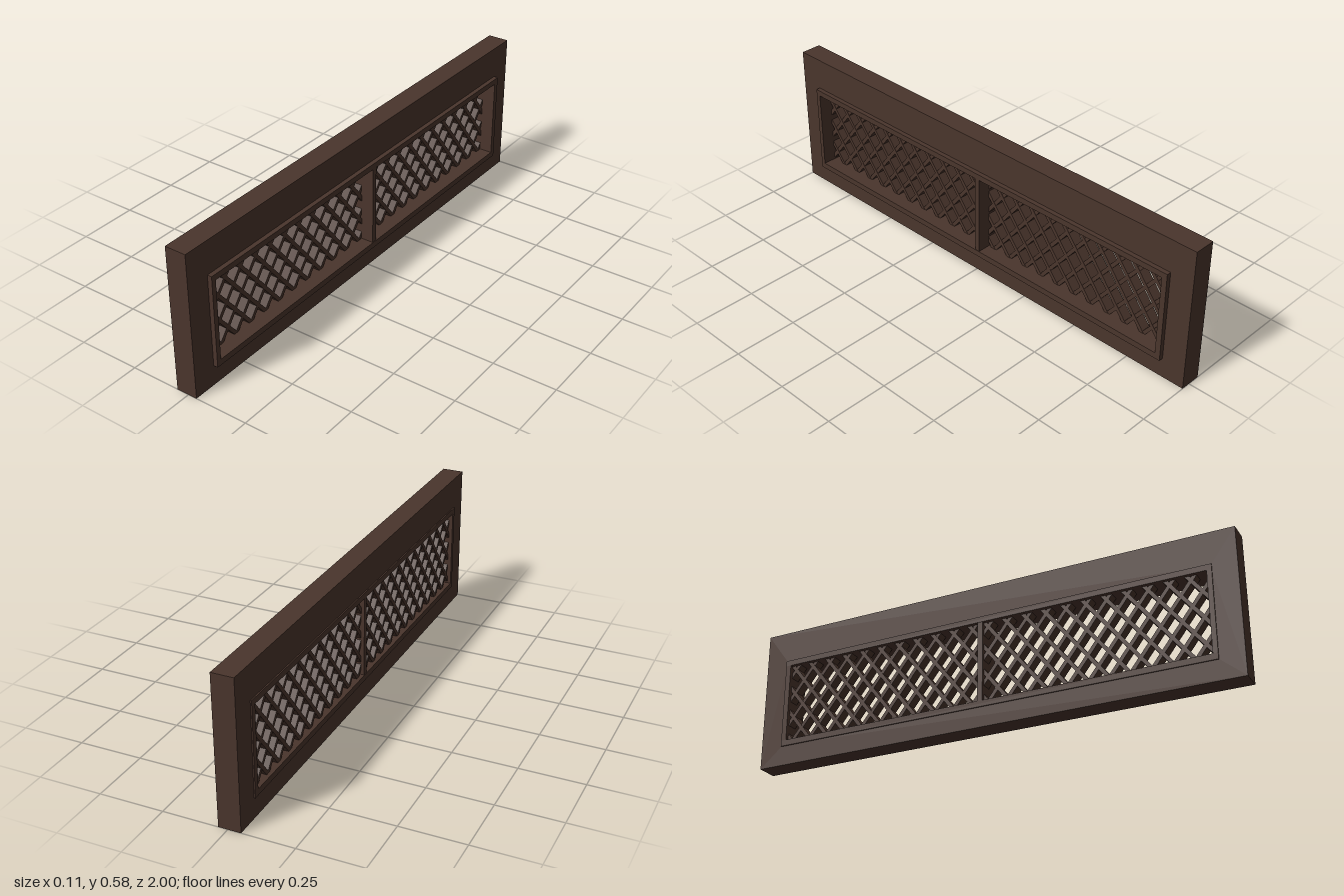
import * as THREE from 'three';

export function createModel() {
  const model = new THREE.Group();
  model.name = 'latticePanel';
  const wood = new THREE.MeshStandardMaterial({ color: 0x4a352c });
  wood.name = 'darkWood';

  // Box given by its limits on each axis
  function box(name, [x0, x1], [y0, y1], [z0, z1], parent = model) {
    const mesh = new THREE.Mesh(new THREE.BoxGeometry(x1 - x0, y1 - y0, z1 - z0), wood);
    mesh.position.set((x0 + x1) / 2, (y0 + y1) / 2, (z0 + z1) / 2);
    mesh.name = name;
    parent.add(mesh);
    return mesh;
  }

  // Thick outer board with a long rectangular opening
  const outline = new THREE.Shape();
  outline.moveTo(-1, 0).lineTo(1, 0).lineTo(1, 0.582).lineTo(-1, 0.582).closePath();
  const hole = new THREE.Path();
  hole.moveTo(-0.9, 0.085).lineTo(-0.9, 0.447).lineTo(0.9, 0.447).lineTo(0.9, 0.085).closePath();
  outline.holes.push(hole);
  const boardGeometry = new THREE.ExtrudeGeometry(outline, { depth: 0.086, bevelEnabled: false });
  boardGeometry.rotateY(Math.PI / 2);
  const board = new THREE.Mesh(boardGeometry, wood);
  board.position.x = -0.05;
  board.name = 'outerBoard';
  model.add(board);

  // Raised inner frame: two rails, two stiles and the middle divider
  const depth = [-0.055, 0.054];
  box('bottomRail', depth, [0.08, 0.104], [-0.905, 0.905]);
  box('topRail', depth, [0.429, 0.452], [-0.905, 0.905]);
  box('leftStile', depth, [0.104, 0.429], [0.886, 0.905]);
  box('rightStile', depth, [0.104, 0.429], [-0.905, -0.883]);
  box('divider', [-0.053, 0.052], [0.104, 0.429], [-0.027, -0.006]);

  // Diagonal slats, each clipped to its half of the opening
  const angle = THREE.MathUtils.degToRad(52);
  const slope = Math.tan(angle);
  const pitch = 0.081, width = 0.015;
  const yLow = 0.1, yHigh = 0.433;

  function lattice(name, zMin, zMax) {
    const group = new THREE.Group();
    group.name = name;
    const run = (yHigh - yLow) / slope;
    for (const dir of [1, -1]) {
      for (let z = zMin - run - pitch / 2; z < zMax + run; z += pitch) {
        // Parameter t runs from the bottom to the top of the slat
        const ends = [(zMin - z) / (dir * run), (zMax - z) / (dir * run)].sort((a, b) => a - b);
        const t0 = Math.max(0, ends[0]), t1 = Math.min(1, ends[1]);
        if (t1 - t0 < 0.06) continue;
        const length = (t1 - t0) * Math.hypot(run, yHigh - yLow);
        const slat = new THREE.Mesh(new THREE.BoxGeometry(0.04, width, length), wood);
        const t = (t0 + t1) / 2;
        slat.position.set(-0.02 + dir * 0.0005, yLow + t * (yHigh - yLow), z + dir * run * t);
        slat.rotation.x = -dir * angle;
        slat.name = 'slat';
        group.add(slat);
      }
    }
    model.add(group);
  }
  lattice('leftLattice', -0.012, 0.89);
  lattice('rightLattice', -0.888, -0.021);

  return model;
}
